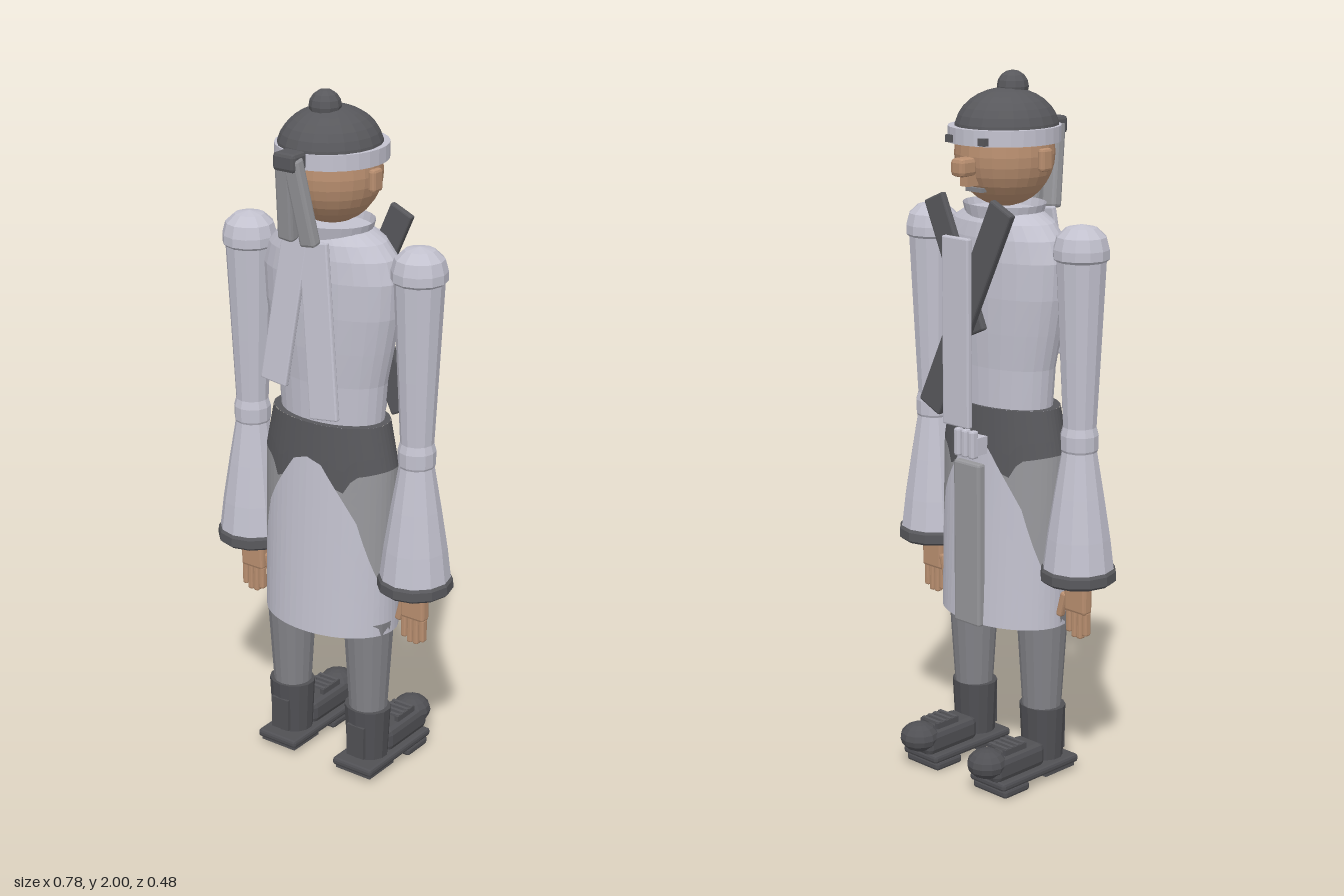
import * as THREE from 'three';
import { RoundedBoxGeometry } from 'three/addons/geometries/RoundedBoxGeometry.js';

const colour = (name, hex) => {
  const m = new THREE.MeshStandardMaterial({ color: hex });
  m.name = name;
  return m;
};

export function createModel() {
  const light = colour('paleCloth', 0xc3c2cf);
  const grey = colour('greyCloth', 0x97979b);
  const trouser = colour('trouserGrey', 0x838388);
  const dark = colour('darkCloth', 0x58585c);
  const leather = colour('bootLeather', 0x505054);
  const skin = colour('skin', 0xb98f70);
  const root = new THREE.Group();

  // Faceted mesh at a position
  function add(name, geo, mat, x = 0, y = 0, z = 0, parent = root) {
    const g = geo.index ? geo.toNonIndexed() : geo;
    g.computeVertexNormals();
    const m = new THREE.Mesh(g, mat);
    m.name = name;
    m.position.set(x, y, z);
    parent.add(m);
    return m;
  }
  const box = (w, h, d) => new THREE.BoxGeometry(w, h, d);
  const ball = (r, a, b) => new THREE.SphereGeometry(r, a, b);

  // Surface wrapped around y: f(angle, v) returns a point, v runs upwards
  function wrap(nu, nv, f) {
    const pos = [], idx = [];
    for (let j = 0; j <= nv; j++)
      for (let i = 0; i <= nu; i++) pos.push(...f((i / nu) * Math.PI * 2, j / nv));
    for (let j = 0; j < nv; j++)
      for (let i = 0; i < nu; i++) {
        const a = j * (nu + 1) + i, c = a + nu + 1;
        idx.push(a, a + 1, c + 1, a, c + 1, c);
      }
    const g = new THREE.BufferGeometry();
    g.setAttribute('position', new THREE.Float32BufferAttribute(pos, 3));
    g.setIndex(idx);
    return g;
  }
  // Stacked ellipses given as [y, rx, rz, cz]
  const rings = (list, n) => wrap(n, list.length - 1, (t, v) => {
    const [y, rx, rz, cz] = list[Math.round(v * (list.length - 1))];
    return [Math.sin(t) * rx, y, cz + Math.cos(t) * rz];
  });
  // Piecewise linear lookup
  function lerpTable(table, s) {
    for (let i = 1; i < table.length; i++) {
      const [a, p] = table[i - 1], [b, q] = table[i];
      if (s <= b) return p + ((q - p) * (s - a)) / (b - a);
    }
    return table[table.length - 1][1];
  }
  // Flat strip between two points
  function strip(name, a, b, w, t, mat) {
    const A = new THREE.Vector3(...a), B = new THREE.Vector3(...b);
    const Y = A.clone().sub(B), len = Y.length();
    Y.normalize();
    const X = Y.clone().cross(new THREE.Vector3(0, 0, 1)).normalize();
    const Z = X.clone().cross(Y);
    const m = add(name, new RoundedBoxGeometry(w, len, t, 1, t * 0.25), mat);
    m.quaternion.setFromRotationMatrix(new THREE.Matrix4().makeBasis(X, Y, Z));
    m.position.copy(A).add(B).multiplyScalar(0.5);
  }

  // Torso and collar
  add('torso', rings([[1.08, 0.162, 0.1, 0.02], [1.2, 0.172, 0.103, 0.02], [1.3, 0.193, 0.11, 0.02],
    [1.4, 0.212, 0.115, 0.02], [1.5, 0.218, 0.116, 0.02], [1.56, 0.2, 0.112, 0.02],
    [1.6, 0.165, 0.105, 0.02], [1.625, 0.12, 0.09, 0.02], [1.625, 0, 0, 0.02]], 28), light);
  const collarMat = colour('collarCloth', 0xc3c2cf);
  collarMat.side = THREE.DoubleSide;
  add('collar', rings([[1.57, 0.1, 0.09, 0.02], [1.645, 0.122, 0.108, 0.022]], 24), collarMat);

  // Skirt: dark waist, grey hips and pale panels meeting along shaped edges
  const hem = 0.465, top = 1.09;
  const waistEdge = [[0, 0.99], [0.22, 0.975], [0.5, 0.89], [0.66, 0.95], [1, 0.965]];
  const paleEdge = [[0, 0.99], [0.22, 0.975], [0.5, 0.89], [0.7, 0.82], [0.93, 0.64], [1, 0.58]];
  const skirtPoint = (t, y) => {
    const k = (top - y) / (top - hem);
    const rx = lerpTable([[0, 0.185], [0.2, 0.212], [1, 0.21]], k);
    return [Math.sin(t) * rx, y, 0.025 + Math.cos(t) * (0.112 + 0.033 * k)];
  };
  const band = (lo, hi, n) => wrap(56, n, (t, v) => {
    const s = Math.abs(Math.sin(t)), a = lo(s), b = hi(s);
    return skirtPoint(t, a + (b - a) * v);
  });
  const waistY = s => lerpTable(waistEdge, s), paleY = s => lerpTable(paleEdge, s);
  add('skirtWaist', band(waistY, () => top, 3), dark);
  add('skirtHips', band(paleY, waistY, 3), grey);
  add('skirtPanels', band(() => hem, paleY, 3), light);
  add('skirtTop', rings([[top, 0.185, 0.112, 0.025], [top, 0, 0, 0.025]], 28), dark);
  add('skirtUnderside', rings([[hem, 0, 0, 0.025], [hem, 0.21, 0.145, 0.025]], 28), grey);

  // Head, cap and band
  add('head', ball(1, 24, 16).scale(0.138, 0.145, 0.138), skin, 0, 1.78, 0.022);
  add('cap', new THREE.SphereGeometry(1, 20, 8, 0, Math.PI * 2, 0, Math.PI / 2)
    .scale(0.14, 0.115, 0.15), dark, 0, 1.84, 0.03);
  add('capBobble', ball(0.044, 10, 8), dark, 0, 1.956, 0.053);
  add('headband', rings([[1.812, 0.13, 0.135, 0.022], [1.812, 0.152, 0.158, 0.022], [1.855, 0.152, 0.158, 0.022],
    [1.855, 0.13, 0.14, 0.022]], 28), light);
  add('nose', new RoundedBoxGeometry(0.048, 0.05, 0.06, 1, 0.012), skin, 0, 1.755, -0.135);
  add('noseBase', box(0.03, 0.035, 0.04), skin, 0, 1.72, -0.115);
  add('mouth', box(0.06, 0.012, 0.02), trouser, 0, 1.69, -0.088);
  for (const s of [-1, 1]) {
    add('ear', new RoundedBoxGeometry(0.022, 0.062, 0.042, 1, 0.008), skin, s * 0.145, 1.772, 0.028);
    add('bandStud', box(0.024, 0.02, 0.02), dark, s * 0.062, 1.825, -0.122);
  }
  add('bandKnot', new RoundedBoxGeometry(0.07, 0.05, 0.06, 1, 0.01), dark, 0, 1.84, 0.208);
  strip('bandTail', [-0.01, 1.85, 0.215], [-0.034, 1.615, 0.172], 0.05, 0.035, grey);
  strip('bandTail', [0.014, 1.85, 0.215], [0.042, 1.61, 0.175], 0.05, 0.035, grey);

  // Long ribbons and crossed straps
  strip('ribbon', [-0.028, 1.62, 0.145], [-0.078, 1.205, 0.182], 0.086, 0.016, light);
  strip('ribbon', [0.03, 1.61, 0.145], [0.096, 1.135, 0.188], 0.092, 0.016, light);
  strip('crossStrap', [-0.14, 1.66, -0.128], [0.14, 1.07, -0.128], 0.085, 0.022, dark);
  strip('crossStrap', [0.14, 1.66, -0.108], [-0.02, 1.3, -0.108], 0.075, 0.02, dark);
  strip('sash', [0, 1.57, -0.163], [0, 1.045, -0.163], 0.1, 0.018, light);
  strip('apronStrip', [0, 0.935, -0.118], [0, 0.46, -0.118], 0.1, 0.028, grey);
  add('clasp', box(0.085, 0.05, 0.045), light, 0, 0.985, -0.105);
  for (const x of [-0.028, 0, 0.028])
    add('claspRib', new RoundedBoxGeometry(0.02, 0.08, 0.025, 1, 0.006), light, x, 0.99, -0.13);

  for (const s of [-1, 1]) {
    // Arm
    const arm = new THREE.Group();
    arm.name = s > 0 ? 'leftArm' : 'rightArm';
    arm.position.set(s * 0.285, 0, 0.022);
    root.add(arm);
    const tube = (name, pts, mat) => add(name, new THREE.LatheGeometry(
      pts.map(([r, y]) => new THREE.Vector2(r, y)), 12), mat, 0, 0, 0, arm);
    tube('shoulderCap', [[0.066, 1.515], [0.077, 1.525], [0.077, 1.55], [0.068, 1.583], [0.042, 1.607], [0, 1.616]], light);
    tube('upperSleeve', [[0.046, 1.05], [0.056, 1.25], [0.069, 1.52]], light);
    tube('elbow', [[0.045, 0.985], [0.052, 1.0], [0.053, 1.04], [0.046, 1.065]], light);
    tube('flaredSleeve', [[0.1, 0.66], [0.089, 0.75], [0.07, 0.87], [0.048, 1.0]], light);
    tube('cuff', [[0, 0.625], [0.098, 0.622], [0.107, 0.63], [0.106, 0.655], [0.1, 0.663]], dark);
    // Hand
    add('palm', new RoundedBoxGeometry(0.078, 0.1, 0.034, 1, 0.008), skin, 0, 0.578, 0, arm);
    for (let i = 0; i < 4; i++) {
      const x = -0.03 + i * 0.02, len = i === 0 || i === 3 ? 0.07 : 0.082;
      add('finger', new RoundedBoxGeometry(0.017, len, 0.022, 1, 0.005), skin, x, 0.535 - len / 2, 0.002, arm);
    }
    const thumb = add('thumb', new RoundedBoxGeometry(0.02, 0.075, 0.022, 1, 0.006), skin, -s * 0.05, 0.542, -0.008, arm);
    thumb.rotation.z = -s * 0.25;

    // Leg and boot
    const leg = new THREE.Group();
    leg.name = s > 0 ? 'leftLeg' : 'rightLeg';
    leg.position.x = s * 0.137;
    root.add(leg);
    add('trouserLeg', new THREE.CylinderGeometry(0.074, 0.054, 0.32, 16), trouser, 0, 0.34, 0.035, leg);
    add('bootShaft', new THREE.CylinderGeometry(0.07, 0.062, 0.155, 14).scale(1, 1, 0.88), leather, 0, 0.135, 0.038, leg);
    add('heelTab', box(0.06, 0.1, 0.012), leather, 0, 0.115, 0.095, leg);
    add('sole', new RoundedBoxGeometry(0.136, 0.024, 0.31, 1, 0.008), leather, 0, 0.037, -0.035, leg);
    add('heelPlate', box(0.12, 0.016, 0.12), leather, 0, 0.022, 0.05, leg);
    add('frontTread', new RoundedBoxGeometry(0.13, 0.026, 0.1, 1, 0.008), leather, 0, 0.013, -0.13, leg);
    add('footTop', new RoundedBoxGeometry(0.104, 0.07, 0.2, 1, 0.018), leather, 0, 0.08, -0.1, leg);
    add('toe', ball(0.057, 12, 8).scale(1, 0.75, 1), leather, 0, 0.095, -0.188, leg);
    for (let i = 0; i < 4; i++)
      add('lace', box(0.07, 0.008, 0.01), dark, 0, 0.13, -0.075 - i * 0.022, leg);
    for (const e of [-1, 1])
      add('laceStrip', box(0.012, 0.026, 0.085), leather, e * 0.03, 0.118, -0.108, leg);
  }
  return root;
}
